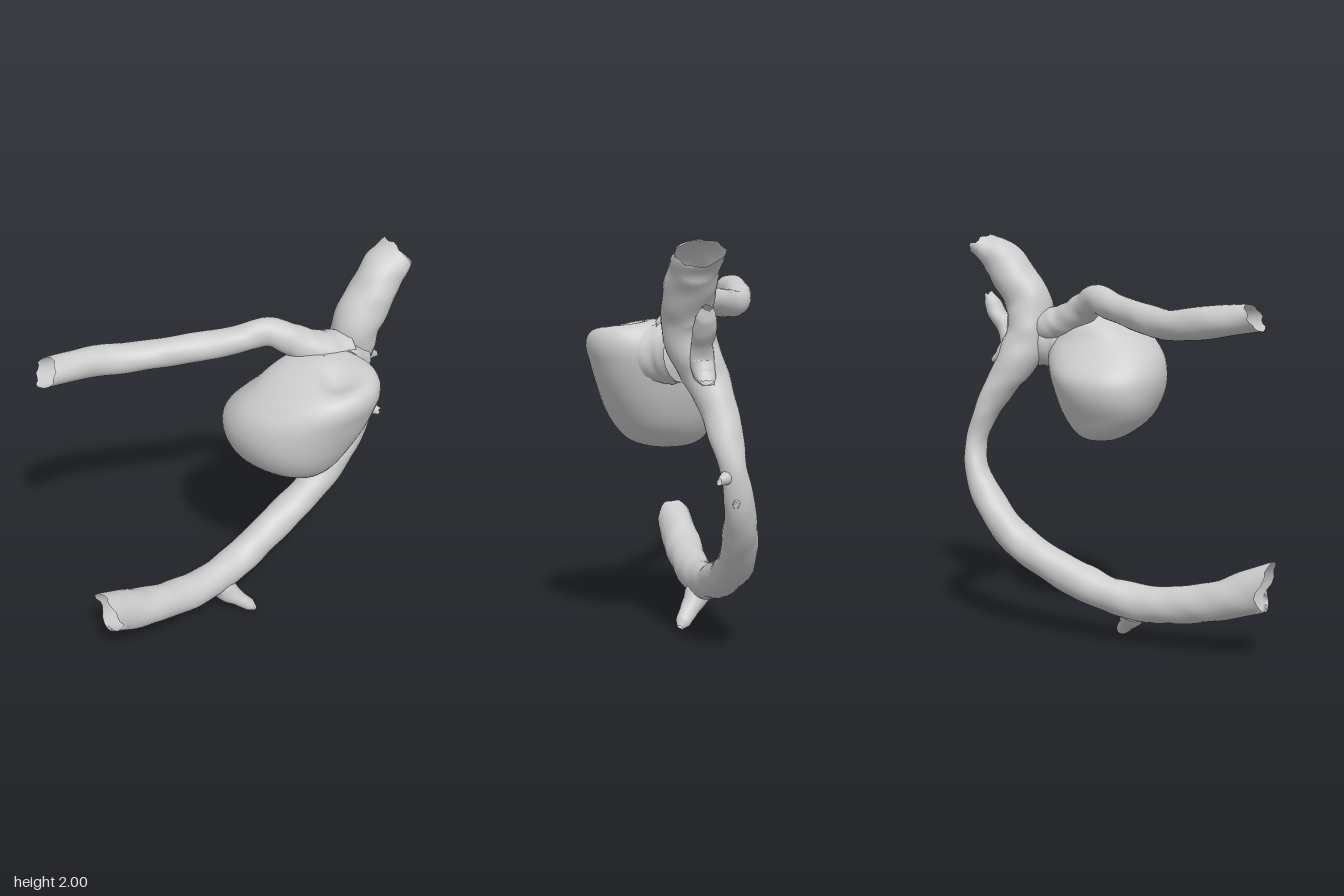
import * as THREE from 'three';

const material = new THREE.MeshStandardMaterial({ color: 0xcccccc, side: THREE.DoubleSide });

// Smooth skin over a list of equally sized closed rings of points
function loft(rings) {
  const n = rings[0].length, index = [];
  for (let i = 0; i < rings.length - 1; i++) {
    for (let j = 0; j < n; j++) {
      const a = i * n + j, b = i * n + (j + 1) % n;
      index.push(a, b, a + n, b, b + n, a + n);
    }
  }
  const geometry = new THREE.BufferGeometry().setFromPoints(rings.flat());
  geometry.setIndex(index);
  geometry.computeVertexNormals();
  return geometry;
}

// Open vessel through stations [x, y, z, sideways radius, other radius].
// startCut and endCut slant the rims [sideways, other], jag tears them,
// lump makes the wall uneven
function vessel(name, stations, { startCut = [0, 0], endCut = [0, 0], jag = 0, lump = 0.035, sides = 24 } = {}) {
  const path = new THREE.CatmullRomCurve3(stations.map(s => new THREE.Vector3(s[0], s[1], s[2])));
  const radii = new THREE.CatmullRomCurve3(stations.map(s => new THREE.Vector3(s[3], s[4], 0)));
  const steps = (stations.length - 1) * 7, rings = [];
  for (let i = 0; i <= steps; i++) {
    const t = i / steps, centre = path.getPoint(t), r = radii.getPoint(t);
    const along = path.getTangent(t);
    const side = new THREE.Vector3(1, 0, 0).addScaledVector(along, -along.x).normalize();
    const up = along.clone().cross(side);
    const ring = [];
    for (let j = 0; j < sides; j++) {
      const a = j / sides * Math.PI * 2, c = Math.cos(a), s = Math.sin(a);
      const wall = 1 + lump * (Math.sin(2 * a + i * 0.55) * 0.6 + Math.sin(3 * a - i * 0.9) * 0.5);
      const tear = jag * (Math.sin(3 * a) + Math.sin(7 * a + 1)) * 0.5;
      const slide = i === 0 ? tear + startCut[0] * c + startCut[1] * s
        : i === steps ? tear + endCut[0] * c + endCut[1] * s : 0;
      ring.push(centre.clone()
        .addScaledVector(side, c * r.x * wall)
        .addScaledVector(up, s * r.y * wall)
        .addScaledVector(along, slide));
    }
    rings.push(ring);
  }
  const mesh = new THREE.Mesh(loft(rings), material);
  mesh.name = name;
  return mesh;
}

// Rounded sac from level sections [y, xMin, xMax, zMin, zMax]
function sac() {
  const sections = [
    [0.978, 0.09, 0.10, -0.18, -0.17], [0.985, 0.0, 0.21, -0.25, -0.09],
    [1.02, -0.07, 0.31, -0.31, -0.01], [1.10, -0.12, 0.385, -0.38, 0.09],
    [1.20, -0.165, 0.44, -0.43, 0.14], [1.30, -0.17, 0.475, -0.47, 0.15],
    [1.40, -0.10, 0.50, -0.50, 0.12], [1.48, -0.03, 0.52, -0.50, 0.05],
    [1.54, 0.01, 0.51, -0.48, -0.03], [1.58, 0.05, 0.46, -0.45, -0.12],
    [1.60, 0.12, 0.28, -0.39, -0.22], [1.605, 0.19, 0.20, -0.31, -0.30],
  ];
  const low = new THREE.CatmullRomCurve3(sections.map(s => new THREE.Vector3(s[1], s[0], s[3])));
  const high = new THREE.CatmullRomCurve3(sections.map(s => new THREE.Vector3(s[2], s[0], s[4])));
  const steps = 44, sides = 48, rings = [];
  const soften = v => Math.sign(v) * Math.abs(v) ** 0.9;
  for (let i = 0; i <= steps; i++) {
    const p = low.getPoint(i / steps), q = high.getPoint(i / steps);
    const y = (p.y + q.y) / 2, rx = Math.abs(q.x - p.x) / 2, rz = Math.abs(q.z - p.z) / 2 * 0.98;
    const ring = [];
    for (let j = 0; j < sides; j++) {
      const a = j / sides * Math.PI * 2;
      const wall = 1 + 0.015 * Math.sin(3 * a + y * 14);
      const dx = soften(Math.cos(a)) * rx * wall;
      // The outer side leans back slightly
      const v = new THREE.Vector3((p.x + q.x) / 2 + dx, y,
        (p.z + q.z) / 2 - soften(Math.sin(a)) * rz * wall - dx * 0.14);
      // Hollow on top beside the raised outer rim
      const d = Math.hypot(v.x - 0.36, v.z + 0.24);
      if (y > 1.4) v.y -= 0.055 * Math.exp(-d * d / 0.007) * Math.min(1, (y - 1.4) / 0.12);
      ring.push(v);
    }
    rings.push(ring);
  }
  const mesh = new THREE.Mesh(loft(rings), material);
  mesh.name = 'sac';
  return mesh;
}

export function createModel() {
  const model = new THREE.Group();
  model.name = 'vesselWithSac';
  model.add(sac());

  // Wide upper trunk running into the long lower curve
  model.add(vessel('mainVessel', [
    [0.11, 1.94, -0.835, 0.11, 0.065], [0.115, 1.88, -0.75, 0.115, 0.10],
    [0.12, 1.77, -0.665, 0.118, 0.112], [0.115, 1.64, -0.585, 0.12, 0.118],
    [0.085, 1.50, -0.58, 0.12, 0.11], [0.035, 1.38, -0.61, 0.105, 0.105],
    [-0.005, 1.25, -0.685, 0.09, 0.08], [-0.03, 1.10, -0.765, 0.078, 0.062],
    [-0.055, 0.95, -0.81, 0.062, 0.053], [-0.085, 0.80, -0.79, 0.072, 0.062],
    [-0.11, 0.65, -0.70, 0.082, 0.08], [-0.135, 0.50, -0.56, 0.09, 0.085],
    [-0.145, 0.39, -0.38, 0.09, 0.088], [-0.14, 0.30, -0.18, 0.09, 0.09],
    [-0.13, 0.235, 0.02, 0.09, 0.09], [-0.12, 0.215, 0.22, 0.09, 0.092],
    [-0.12, 0.24, 0.42, 0.095, 0.092], [-0.125, 0.285, 0.60, 0.10, 0.10],
    [-0.125, 0.36, 0.79, 0.095, 0.11],
  ], { startCut: [0.03, 0], endCut: [0, 0.085], jag: 0.018 }));

  // Forward branch leaving over the top of the sac
  model.add(vessel('forwardBranch', [
    [0.13, 1.535, -0.48, 0.115, 0.10], [0.115, 1.56, -0.39, 0.115, 0.09],
    [0.08, 1.60, -0.305, 0.09, 0.085], [0.035, 1.655, -0.22, 0.072, 0.075],
    [-0.025, 1.695, -0.14, 0.062, 0.072], [-0.10, 1.665, -0.01, 0.07, 0.068],
    [-0.235, 1.63, 0.20, 0.072, 0.07], [-0.355, 1.61, 0.40, 0.075, 0.072],
    [-0.425, 1.635, 0.62, 0.075, 0.075], [-0.44, 1.665, 0.845, 0.075, 0.065],
  ], { endCut: [0, -0.03], jag: 0.012 }));

  // Short broad neck joining the sac to the trunk
  model.add(vessel('sacNeck', [
    [0.12, 1.46, -0.54, 0.115, 0.125], [0.15, 1.46, -0.48, 0.13, 0.135],
    [0.18, 1.455, -0.42, 0.165, 0.15],
  ]));

  // Twisted remnant behind the trunk
  model.add(vessel('rearTwig', [
    [0.07, 1.70, -0.80, 0.025, 0.02], [0.07, 1.65, -0.775, 0.05, 0.042],
    [0.07, 1.59, -0.745, 0.055, 0.045], [0.07, 1.53, -0.70, 0.05, 0.045],
    [0.065, 1.45, -0.67, 0.06, 0.055], [0.06, 1.39, -0.71, 0.05, 0.045],
    [0.06, 1.36, -0.765, 0.035, 0.015],
  ], { jag: 0.01, sides: 14 }));

  // Torn fins on the rear of the curve
  for (const [x, y, z, tipX] of [[-0.04, 0.95, -0.82, 0.03], [-0.07, 0.84, -0.81, -0.05]]) {
    model.add(vessel('tornFin', [
      [x, y, z + 0.02, 0.035, 0.045], [(x + tipX) / 2, y - 0.01, z - 0.02, 0.03, 0.03],
      [tipX, y - 0.02, z - 0.045, 0.012, 0.02],
    ], { jag: 0.01, sides: 12 }));
  }

  // Small branch flaring out of the lowest point
  model.add(vessel('lowerBranch', [
    [-0.105, 0.17, 0.105, 0.07, 0.065], [-0.075, 0.13, 0.08, 0.062, 0.06],
    [-0.035, 0.085, 0.04, 0.047, 0.042], [0.005, 0.04, -0.005, 0.04, 0.032],
    [0.025, 0.017, -0.025, 0.018, 0.014],
  ], { sides: 16 }));

  return model;
}
